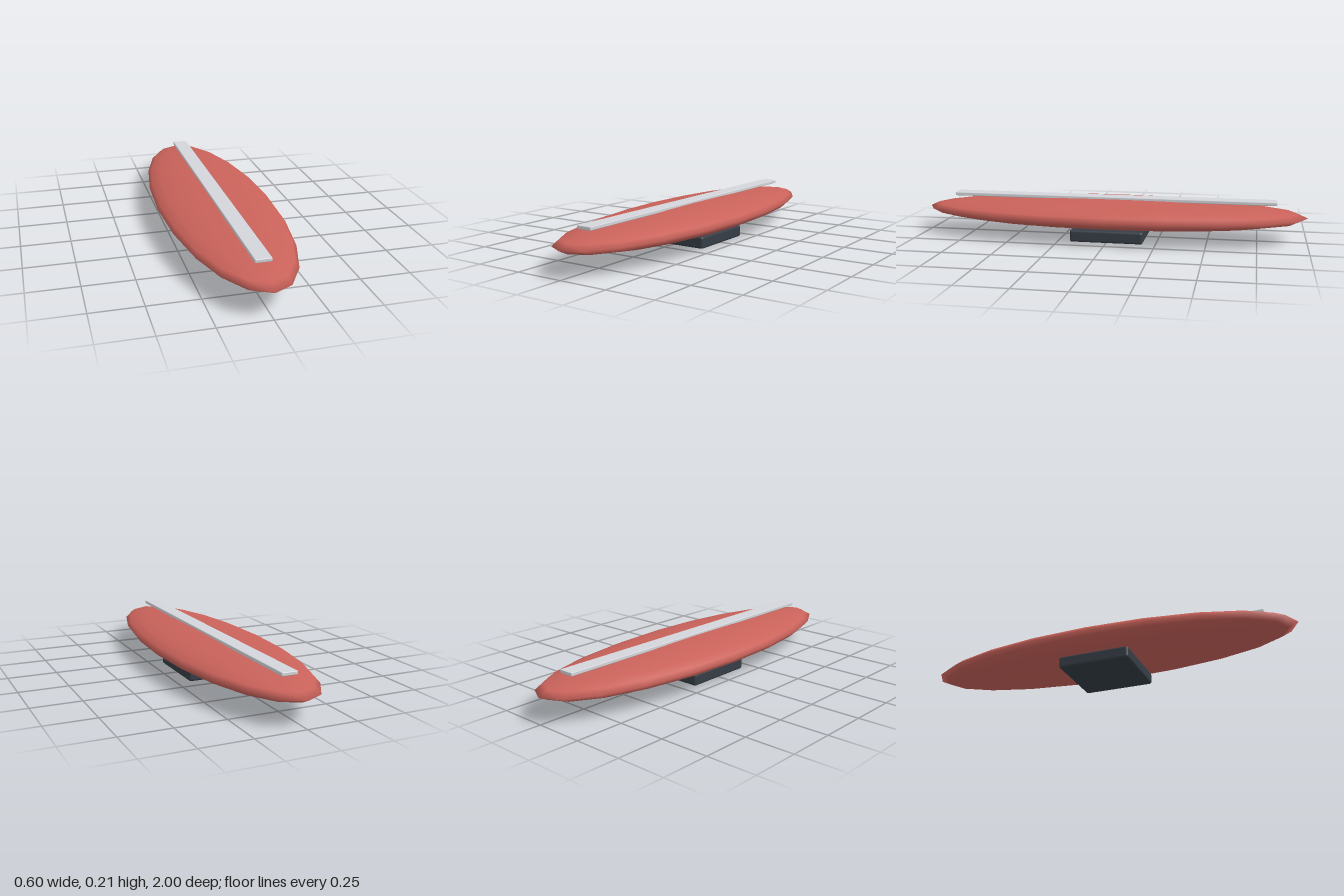
import * as THREE from 'three';
import { RoundedBoxGeometry } from 'three/addons/geometries/RoundedBoxGeometry.js';

function material(name, color) {
  const m = new THREE.MeshStandardMaterial({ color });
  m.name = name;
  return m;
}

export function createModel() {
  const model = new THREE.Group();
  const add = (name, geometry, mat, y) => {
    const mesh = new THREE.Mesh(geometry, mat);
    mesh.name = name;
    mesh.position.y = y;
    model.add(mesh);
  };

  // Long flattened ellipsoid body
  const body = new THREE.SphereGeometry(1, 20, 10).scale(0.3, 0.073, 1);
  add('body', body, material('red', 0xc9625a), 0.127);

  // Straight strip along the top
  add('topStrip', new RoundedBoxGeometry(0.08, 0.018, 1.69, 2, 0.004), material('light grey', 0xd3d5da), 0.201);

  // Square mounting block underneath
  add('mountBlock', new RoundedBoxGeometry(0.374, 0.062, 0.374, 2, 0.012), material('dark slate', 0x353d45), 0.031);

  return model;
}
